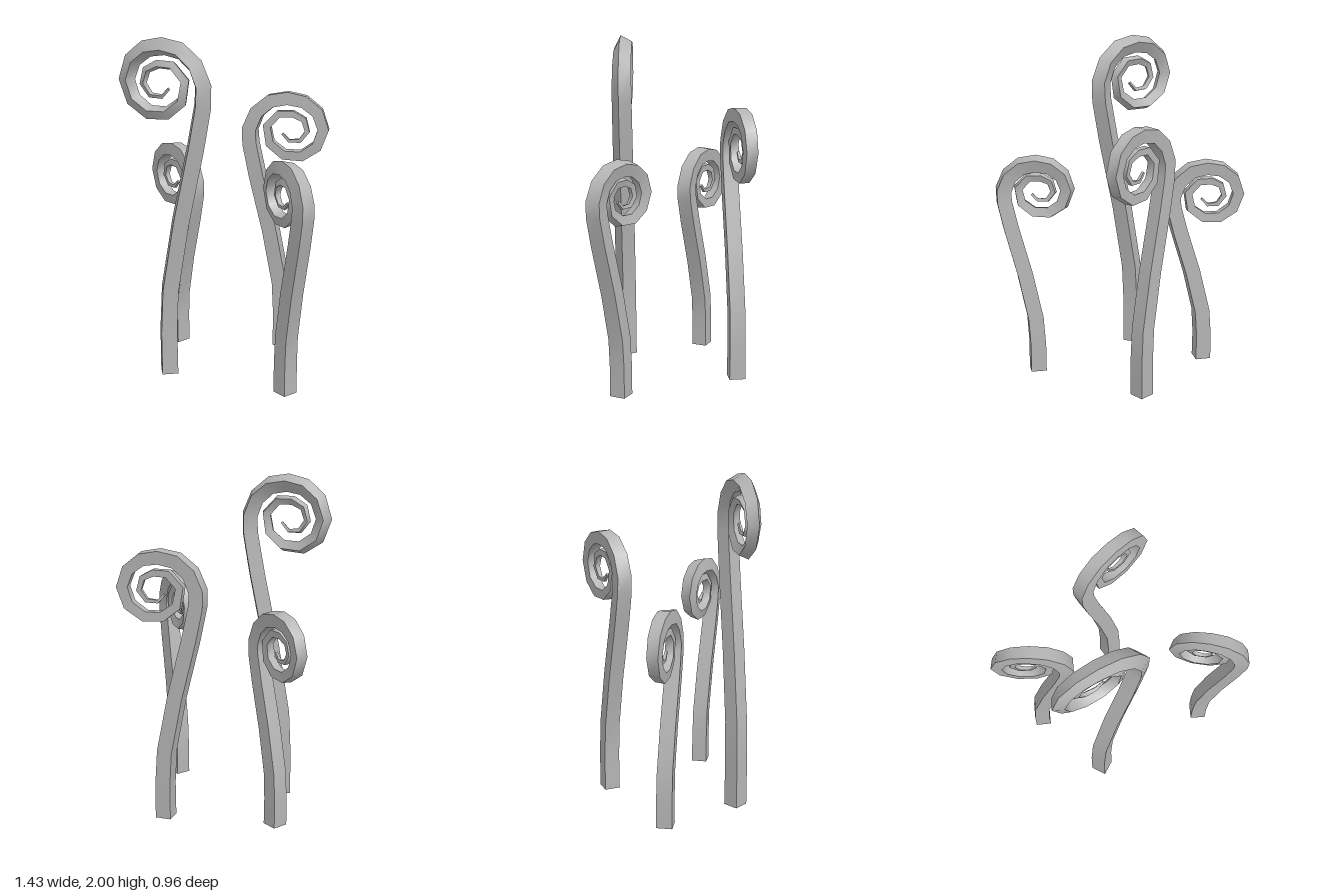
import * as THREE from 'three';

const RAD = Math.PI / 180;

// Spiral radius at every quarter turn, from the top of the stem to the inner tip
const RADII = [0.232, 0.17, 0.173, 0.148, 0.143, 0.088, 0.086, 0.068, 0.055];
const CURL_STEPS = 18, CURL_ANGLE = 695, STEM_STEPS = 6;

function radiusAt(deg) {
  const q = deg / 90, i = Math.min(Math.floor(q), RADII.length - 2);
  return THREE.MathUtils.lerp(RADII[i], RADII[i + 1], q - i);
}

// Centre line with thickness: an S-shaped stem running into a tightening spiral
function frondPath({ curlY, size, reach }) {
  const stem = new THREE.CatmullRomCurve3(
    [[0, 0], [0, 0.18], [0.11, 0.37], [0.66, 0.72], [0.97, 0.92], [1, 1]].map(
      ([u, f]) => new THREE.Vector3(u * reach, THREE.MathUtils.lerp(0.02, curlY, f), 0)));
  const points = [], widths = [];
  for (let i = 0; i < STEM_STEPS; i++) {
    const t = i / STEM_STEPS;
    points.push(stem.getPoint(t));
    widths.push(THREE.MathUtils.lerp(0.094, 0.085, t));
  }
  const centreX = reach - RADII[0] * size;
  for (let i = 0; i <= CURL_STEPS; i++) {
    const t = i / CURL_STEPS;
    const deg = CURL_ANGLE * (0.65 * t + 0.35 * t * t); // coarser towards the tip
    const r = radiusAt(deg) * size;
    points.push(new THREE.Vector3(centreX + r * Math.cos(deg * RAD), curlY + r * Math.sin(deg * RAD), 0));
    widths.push(THREE.MathUtils.lerp(0.085, 0.014, deg / CURL_ANGLE));
  }
  return { points, widths };
}

// Square section swept along the path: smooth lengthwise, sharp at the four edges
function frondGeometry(spec) {
  const { points, widths } = frondPath(spec);
  const last = points.length - 1;
  const rings = points.map((p, i) => {
    const a = points[Math.max(i - 1, 0)], b = points[Math.min(i + 1, last)];
    const tangent = b.clone().sub(a).normalize();
    const out = new THREE.Vector3(tangent.y, -tangent.x, 0);
    const twist = THREE.MathUtils.lerp(spec.twist[0], spec.twist[1], i / last) * RAD;
    const n = out.clone().multiplyScalar(Math.cos(twist));
    n.z = -Math.sin(twist);
    const side = out.clone().multiplyScalar(Math.sin(twist));
    side.z = Math.cos(twist);
    const h = widths[i] / 2;
    return [[1, 1], [1, -1], [-1, -1], [-1, 1]].map(([u, v]) =>
      p.clone().addScaledVector(n, u * h).addScaledVector(side, v * h));
  });
  const pos = [], index = [];
  const add = (v) => pos.push(v.x, v.y, v.z) / 3 - 1;
  for (let k = 0; k < 4; k++) {
    const start = pos.length / 3;
    rings.forEach((ring) => { add(ring[k]); add(ring[(k + 1) % 4]); });
    for (let i = 0; i < last; i++) {
      const a = start + i * 2;
      index.push(a, a + 1, a + 3, a, a + 3, a + 2);
    }
  }
  // end caps
  const [b0, b1, b2, b3] = rings[0].map(add);
  index.push(b0, b2, b1, b0, b3, b2);
  const [t0, t1, t2, t3] = rings[last].map(add);
  index.push(t0, t1, t2, t0, t2, t3);

  const geometry = new THREE.BufferGeometry();
  geometry.setAttribute('position', new THREE.Float32BufferAttribute(pos, 3));
  geometry.setIndex(index);
  geometry.computeVertexNormals();
  return geometry;
}

export function createModel() {
  const group = new THREE.Group();
  group.name = 'curledFronds';
  const grey = new THREE.MeshStandardMaterial({ color: 0xb4b4b4 });
  grey.name = 'grey';

  const fronds = [
    { name: 'rightFrond', x: -0.47, z: -0.05, yaw: -21.5, twist: [7, 3], curlY: 1.09, size: 1, reach: 0.195 },
    { name: 'tallFrontFrond', x: -0.215, z: 0.395, yaw: 9, twist: [33, 20], curlY: 1.756, size: 1.19, reach: 0.238 },
    { name: 'backFrond', x: 0.118, z: -0.345, yaw: 203, twist: [-6, 0], curlY: 1.405, size: 1.1, reach: 0.205 },
    { name: 'leftFrond', x: 0.515, z: 0.27, yaw: -30.6, twist: [14, 14], curlY: 1.17, size: 0.94, reach: 0.178 },
  ];
  for (const spec of fronds) {
    const mesh = new THREE.Mesh(frondGeometry(spec), grey);
    mesh.name = spec.name;
    mesh.position.set(spec.x, 0, spec.z);
    mesh.rotation.y = spec.yaw * RAD;
    group.add(mesh);
  }
  return group;
}
